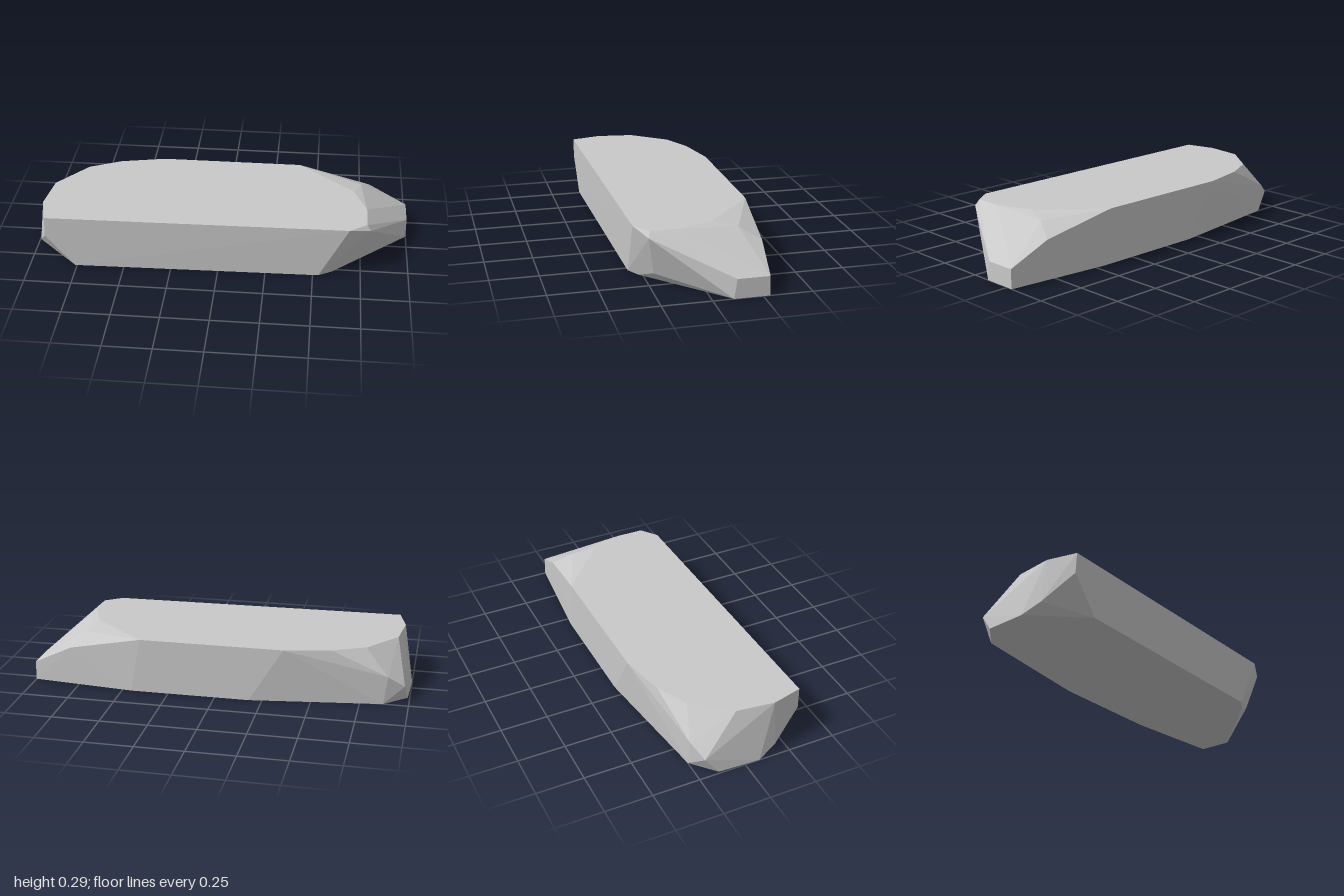
import * as THREE from 'three';
import { ConvexGeometry } from 'three/addons/geometries/ConvexGeometry.js';

export function createModel() {
  const stone = new THREE.MeshStandardMaterial({ color: 0xc9c9c9 });
  stone.name = 'light grey stone';
  const top = 0.29;

  // Flat upper rim [x, z]
  const upperRim = [
    [-0.905, 0.34], [-0.945, 0.18], [-0.92, -0.02], [-0.77, -0.21], [-0.6, -0.29], [-0.36, -0.34],
    [0.4, -0.34], [0.7, -0.08], [0.77, 0.1], [0.77, 0.25], [0.68, 0.315],
  ];
  // Flat base [x, z]
  const base = [
    [-0.76, 0.335], [-1, 0.08], [-0.99, -0.14], [-0.87, -0.25], [-0.18, -0.34], [0.45, -0.34],
    [1, -0.285], [1, -0.105], [0.6, 0.27], [0.53, 0.31],
  ];
  // Chipped corners between base and rim [x, y, z]
  const chips = [
    [-0.91, 0.18, 0.337], [-0.975, 0.05, 0.18], [-0.975, 0.09, -0.21], [-0.89, 0.15, -0.25],
    [0.72, 0.05, 0.22], [0.79, 0.26, 0.26], [0.74, 0.265, -0.2],
    [0.79, 0.205, -0.306], [1, 0.1, -0.283], [1, 0.1, -0.12],
  ];

  const points = [
    ...upperRim.map(([x, z]) => new THREE.Vector3(x, top, z)),
    ...base.map(([x, z]) => new THREE.Vector3(x, 0, z)),
    ...chips.map((p) => new THREE.Vector3(...p)),
  ];

  const slab = new THREE.Mesh(new ConvexGeometry(points), stone);
  slab.name = 'rockSlab';
  const group = new THREE.Group();
  group.name = 'flatRock';
  group.add(slab);
  return group;
}
